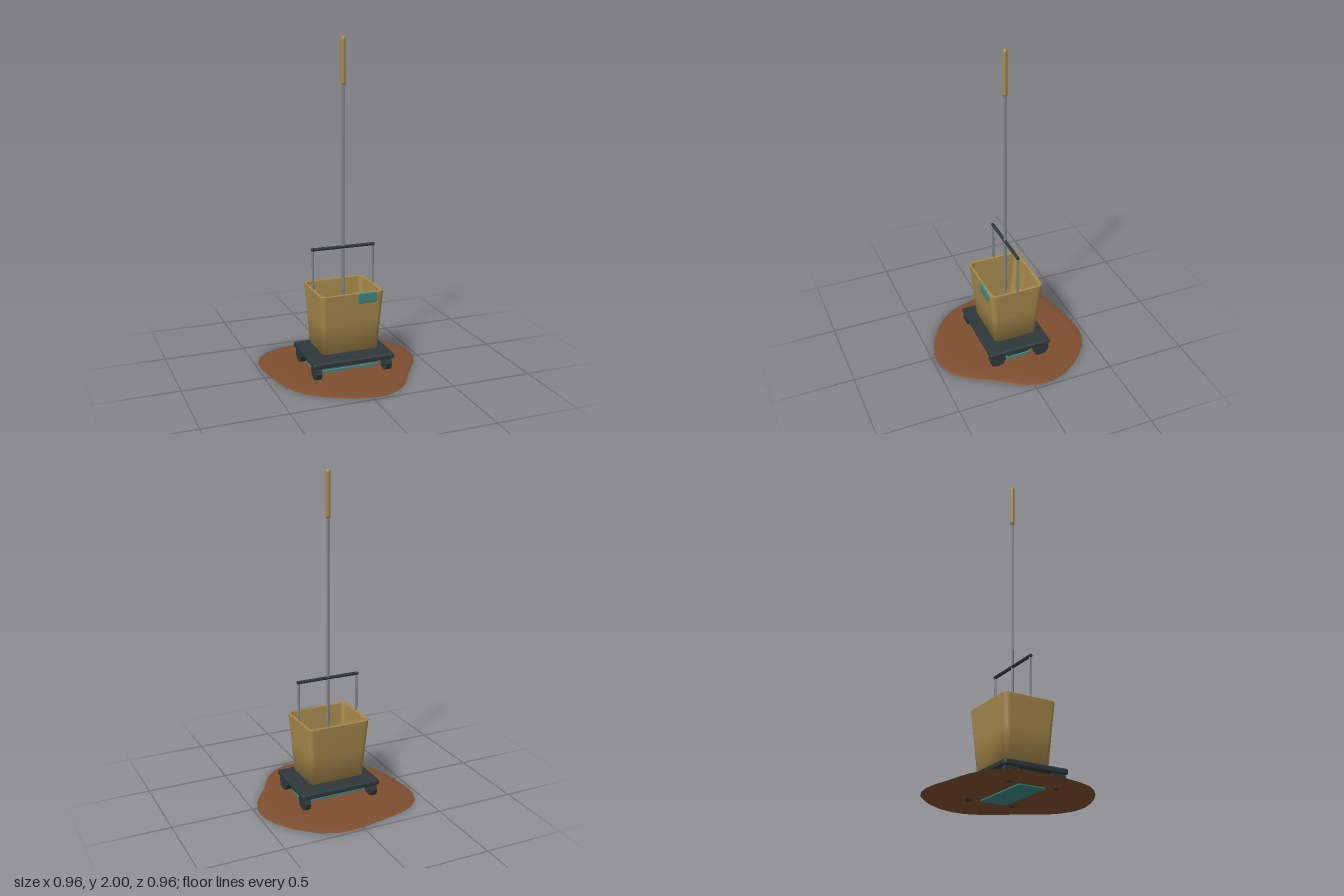
import * as THREE from 'three';
import { RoundedBoxGeometry } from 'three/addons/geometries/RoundedBoxGeometry.js';

const mat = (name, color, side = THREE.FrontSide) => {
  const m = new THREE.MeshStandardMaterial({ color, side });
  m.name = name;
  return m;
};

// Skin closed rings of equal point count, fanning the first and last ring to their centres when asked
function loft(rings, capStart, capEnd) {
  const n = rings[0].length, pos = rings.flat(2), idx = [];
  for (let r = 0; r < rings.length - 1; r++) {
    for (let i = 0; i < n; i++) {
      const a = r * n + i, b = r * n + (i + 1) % n;
      idx.push(a, a + n, b, b, a + n, b + n);
    }
  }
  const cap = (r, flip) => {
    const c = pos.length / 3, mid = [0, rings[r][0][1], 0];
    pos.push(...mid);
    for (let i = 0; i < n; i++) {
      const a = r * n + i, b = r * n + (i + 1) % n;
      idx.push(c, flip ? b : a, flip ? a : b);
    }
  };
  if (capStart) cap(0, false);
  if (capEnd) cap(rings.length - 1, true);
  const g = new THREE.BufferGeometry();
  g.setAttribute('position', new THREE.Float32BufferAttribute(pos, 3));
  g.setIndex(idx);
  g.computeVertexNormals();
  return g;
}

// Rounded rectangle ring in the horizontal plane, running from +x towards +z
function rectRing(hx, hz, radius, y, steps = 5) {
  const ring = [];
  [[1, 1], [-1, 1], [-1, -1], [1, -1]].forEach(([sx, sz], q) => {
    for (let i = 0; i <= steps; i++) {
      const a = (q + i / steps) * Math.PI / 2;
      ring.push([sx * (hx - radius) + radius * Math.cos(a), y, sz * (hz - radius) + radius * Math.sin(a)]);
    }
  });
  return ring;
}

// Outline of the spill as x, z pairs, running from +x towards +z
const spillOutline = [
  [0.478, -0.03], [0.447, 0.065], [0.4, 0.14], [0.34, 0.22], [0.3, 0.29], [0.25, 0.37], [0.18, 0.435],
  [0.09, 0.477], [-0.01, 0.477], [-0.1, 0.45], [-0.19, 0.41], [-0.27, 0.36], [-0.34, 0.3], [-0.393, 0.235],
  [-0.43, 0.145], [-0.45, 0.06], [-0.465, -0.03], [-0.48, -0.125], [-0.477, -0.22], [-0.44, -0.315],
  [-0.365, -0.385], [-0.275, -0.42], [-0.18, -0.44], [-0.09, -0.455], [-0.01, -0.472], [0.08, -0.48],
  [0.17, -0.467], [0.26, -0.425], [0.33, -0.365], [0.39, -0.3], [0.445, -0.215], [0.478, -0.12],
];

export function createModel() {
  const group = new THREE.Group();
  const tan = mat('tan plastic', 0xa6894c);
  const dark = mat('dark rubber', 0x2e383a);
  const teal = mat('teal cloth', 0x3b8782);
  const steel = mat('grey steel', 0x7c858b);
  const mud = mat('brown spill', 0x7d4e2f, THREE.DoubleSide);

  const add = (name, geo, material, x = 0, y = 0, z = 0) => {
    const m = new THREE.Mesh(geo, material);
    m.name = name;
    m.position.set(x, y, z);
    group.add(m);
    return m;
  };

  // Spill: a very shallow open dome
  const spillRings = [[1, 0], [0.97, 0.005], [0.88, 0.01], [0.7, 0.013], [0.4, 0.015]]
    .map(([s, y]) => spillOutline.map(([x, z]) => [x * s, y, z * s]));
  add('spill', loft(spillRings, false, true), mud);

  // Bucket: floor, outer wall, rolled rim, inner wall, inner floor
  const bucketRings = [
    [0.176, 0.136, 0.03, 0.15], [0.188, 0.153, 0.032, 0.335], [0.2, 0.17, 0.034, 0.515], [0.198, 0.168, 0.033, 0.52],
    [0.185, 0.155, 0.025, 0.52], [0.182, 0.152, 0.024, 0.514], [0.172, 0.138, 0.024, 0.34],
    [0.162, 0.122, 0.024, 0.185], [0.145, 0.105, 0.02, 0.167],
  ].map(([hx, hz, r, y]) => rectRing(hx, hz, r, y));
  add('bucket', loft(bucketRings, true, true), tan);

  // Cloth tag over the bucket rim
  add('rimCloth', new RoundedBoxGeometry(0.116, 0.062, 0.024, 2, 0.006), teal, 0.087, 0.489, 0.165);

  // Bail handle
  for (const s of [1, -1]) {
    const side = s > 0 ? 'left' : 'right';
    add(side + 'HandlePost', new THREE.CylinderGeometry(0.007, 0.007, 0.29, 10), steel, s * 0.191, 0.62, 0);
    add(side + 'HandlePivot', new THREE.CylinderGeometry(0.008, 0.008, 0.012, 10), steel, s * 0.192, 0.48, 0)
      .rotation.z = Math.PI / 2;
  }
  add('handleGrip', new THREE.CylinderGeometry(0.01, 0.01, 0.4, 12), dark, 0, 0.763, 0).rotation.z = Math.PI / 2;

  // Trolley with four chunky wheels
  add('trolley', new RoundedBoxGeometry(0.51, 0.034, 0.4, 1, 0.011), dark, 0, 0.108, 0);
  for (const x of [-0.222, 0.222]) {
    for (const z of [-0.146, 0.146]) {
      const wheel = new THREE.CylinderGeometry(0.053, 0.053, 0.036, 8).toNonIndexed();
      wheel.computeVertexNormals();
      add('wheel', wheel, dark, x, 0.06, z).rotation.z = Math.PI / 2;
    }
  }

  // Mop: cloth pad, tapered holder, shaft and grip
  add('mopPad', new RoundedBoxGeometry(0.41, 0.026, 0.17, 2, 0.006), teal, 0, 0.018, 0);
  const holder = loft([rectRing(0.2, 0.08, 0.01, 0.029, 2), rectRing(0.195, 0.06, 0.01, 0.05, 2)], true, true).toNonIndexed();
  holder.computeVertexNormals();
  add('mopHolder', holder, dark);
  add('mopShaft', new THREE.CylinderGeometry(0.0085, 0.0085, 1.75, 12), steel, 0, 0.905, 0);
  const gripProfile = [[0, 1.725], [0.012, 1.725], [0.0145, 1.735], [0.0145, 1.98], [0.011, 1.995], [0, 2]]
    .map(([r, y]) => new THREE.Vector2(r, y));
  add('mopGrip', new THREE.LatheGeometry(gripProfile, 12), tan);

  return group;
}
